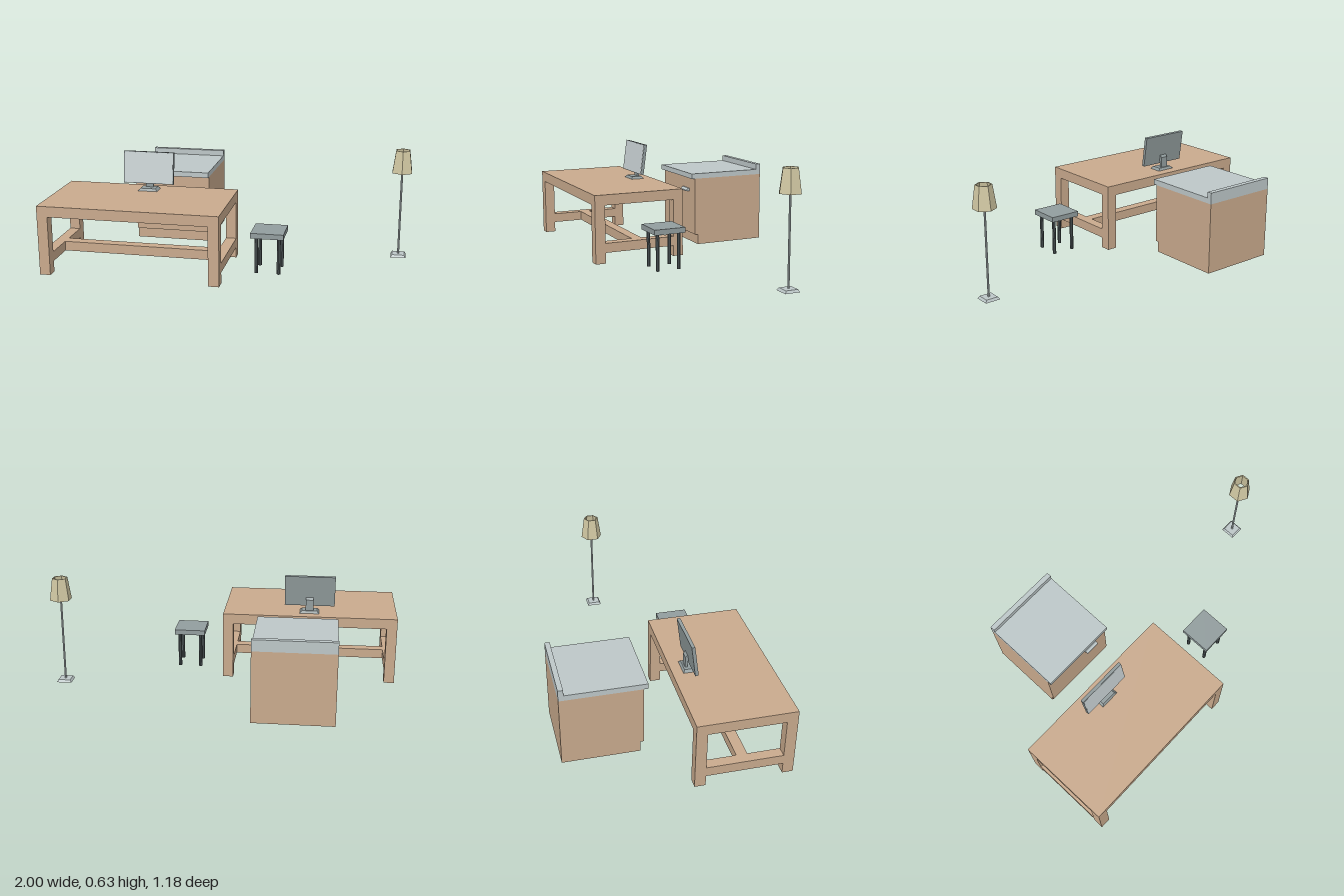
import * as THREE from 'three';

const mat = (name, color) => {
  const m = new THREE.MeshStandardMaterial({ color, flatShading: true });
  m.name = name;
  return m;
};

export function createModel() {
  const wood = mat('wood', 0xc9aa8d);
  const stone = mat('paleGrey', 0xbdc7c8);
  const screenGlass = mat('screenGrey', 0xc8d1d3);
  const grey = mat('midGrey', 0x929d9e);
  const dark = mat('darkGrey', 0x525b5d);
  const cream = mat('cream', 0xd1c8a3);

  const model = new THREE.Group();
  const group = (name) => {
    const g = new THREE.Group();
    g.name = name;
    model.add(g);
    return g;
  };
  const add = (parent, name, geo, material, x = 0, y = 0, z = 0) => {
    const m = new THREE.Mesh(geo, material);
    m.name = name;
    m.position.set(x, y, z);
    parent.add(m);
    return m;
  };
  // box given by its limits on each axis
  const block = (parent, name, material, [x0, x1], [y0, y1], [z0, z1]) =>
    add(parent, name, new THREE.BoxGeometry(x1 - x0, y1 - y0, z1 - z0), material,
      (x0 + x1) / 2, (y0 + y1) / 2, (z0 + z1) / 2);
  // rectangular slab with sloping sides, standing on y = 0
  const slab = (w, h, d, top) => new THREE.CylinderGeometry(top * Math.SQRT1_2, Math.SQRT1_2, h, 4)
    .rotateY(Math.PI / 4).scale(w, 1, d).translate(0, h / 2, 0);
  // side profile of [z, y] points, extruded along x and centred on it
  const sideProfile = (points, width) => new THREE.ExtrudeGeometry(
    new THREE.Shape(points.map(([z, y]) => new THREE.Vector2(z, y))),
    { depth: width, bevelEnabled: false }
  ).translate(0, 0, -width / 2).rotateY(-Math.PI / 2);

  // desk: top, four legs and an H of stretchers
  const desk = group('desk');
  block(desk, 'deskTop', wood, [-1, 0.015], [0.335, 0.395], [0.05, 0.59]);
  for (const x of [-1, -0.045]) {
    for (const z of [0.05, 0.53]) block(desk, 'deskLeg', wood, [x, x + 0.06], [0, 0.335], [z, z + 0.06]);
    block(desk, 'sideStretcher', wood, [x, x + 0.06], [0.062, 0.117], [0.11, 0.53]);
  }
  block(desk, 'longStretcher', wood, [-0.94, -0.045], [0.062, 0.117], [0.29, 0.35]);

  // cabinet with toe recess, worktop and upstand
  const cabinet = group('cabinet');
  const cabinetX = [-0.655, -0.2];
  block(cabinet, 'cabinetBody', wood, cabinetX, [0, 0.41], [-0.587, -0.154]);
  block(cabinet, 'cabinetFront', wood, cabinetX, [0.062, 0.41], [-0.154, -0.135]);
  block(cabinet, 'worktop', stone, cabinetX, [0.41, 0.441], [-0.587, -0.112]);
  block(cabinet, 'upstand', stone, cabinetX, [0.441, 0.475], [-0.587, -0.558]);
  add(cabinet, 'handle', sideProfile(
    [[-0.135, 0.322], [-0.112, 0.322], [-0.112, 0.329], [-0.127, 0.34], [-0.135, 0.34]], 0.085),
  stone, -0.323);

  // monitor: foot, neck and a panel leaning back
  const monitor = group('monitor');
  const mx = -0.489;
  add(monitor, 'monitorFoot', slab(0.113, 0.014, 0.078, 0.78), grey, mx, 0.395, 0.148);
  add(monitor, 'monitorNeck', sideProfile(
    [[0.139, 0.405], [0.126, 0.405], [0.126, 0.472], [0.138, 0.486], [0.146, 0.455], [0.139, 0.44]], 0.045),
  grey, mx);
  const panel = new THREE.Group();
  panel.name = 'monitorPanel';
  panel.position.set(mx, 0.525, 0.143);
  panel.rotation.x = -0.136;
  monitor.add(panel);
  add(panel, 'monitorCase', new THREE.BoxGeometry(0.294, 0.184, 0.018), grey);
  add(panel, 'screen', new THREE.BoxGeometry(0.286, 0.176, 0.002), screenGlass, 0, 0, 0.0095);

  // stool
  const stool = group('stool');
  block(stool, 'stoolSeat', grey, [0.142, 0.326], [0.208, 0.238], [0.178, 0.362]);
  for (const x of [0.172, 0.298])
    for (const z of [0.207, 0.334])
      add(stool, 'stoolLeg', new THREE.CylinderGeometry(0.0105, 0.0105, 0.208, 8), dark, x, 0.104, z);

  // floor lamp with an open six-sided shade
  const lamp = group('floorLamp');
  lamp.position.set(0.941, 0, -0.107);
  add(lamp, 'lampBase', slab(0.087, 0.014, 0.087, 0.8), stone);
  add(lamp, 'lampPole', new THREE.CylinderGeometry(0.006, 0.006, 0.53, 8), stone, 0, 0.275, 0);
  const shade = [[0.064, 0.504], [0.045, 0.633], [0.038, 0.633], [0.057, 0.504], [0.064, 0.504]];
  add(lamp, 'lampShade', new THREE.LatheGeometry(shade.map(([r, y]) => new THREE.Vector2(r, y)), 6), cream);

  return model;
}
